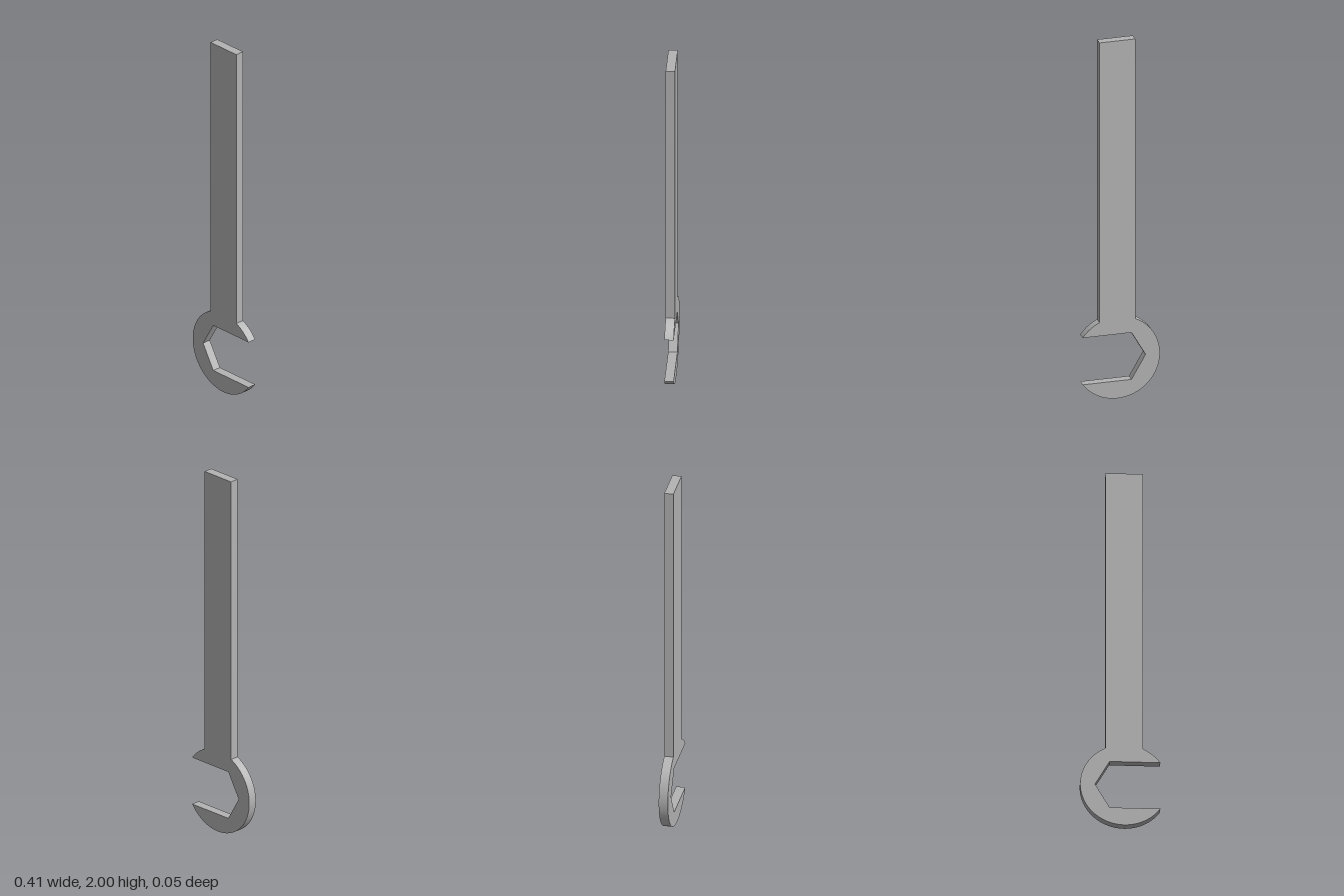
import * as THREE from 'three';
import { toCreasedNormals } from 'three/addons/utils/BufferGeometryUtils.js';

export function createModel() {
  const steel = new THREE.MeshStandardMaterial({ color: 0xb3b3b3 });
  steel.name = 'grey steel';

  const cx = 0.02, cy = 0.228, radius = 0.228; // round head
  const halfGap = 0.131;                       // half the jaw opening
  const halfShank = 0.096, top = 2, depth = 0.048;
  const corner = halfGap / Math.cos(Math.PI / 6); // hexagon corner radius

  const shankAngle = Math.acos(halfShank / radius);
  const tipAngle = Math.asin(halfGap / radius);

  // Outline, counter-clockwise: shank, back of head, hexagonal jaw, upper jaw tip
  const outline = new THREE.Shape();
  outline.moveTo(cx + halfShank, top);
  outline.lineTo(cx - halfShank, top);
  outline.absarc(cx, cy, radius, Math.PI - shankAngle, 2 * Math.PI - tipAngle, false);
  for (const angle of [240, 180, 120]) {
    const a = THREE.MathUtils.degToRad(angle);
    outline.lineTo(cx + corner * Math.cos(a), cy + corner * Math.sin(a));
  }
  outline.absarc(cx, cy, radius, tipAngle, shankAngle, false);
  outline.closePath();

  const geometry = new THREE.ExtrudeGeometry(outline, { depth, bevelEnabled: false, curveSegments: 48 });
  geometry.translate(0, 0, -depth / 2);

  // Smooth round edge, sharp corners
  const wrench = new THREE.Mesh(toCreasedNormals(geometry, Math.PI / 9), steel);
  wrench.name = 'openEndWrench';

  const group = new THREE.Group();
  group.name = 'wrench';
  group.add(wrench);
  return group;
}
